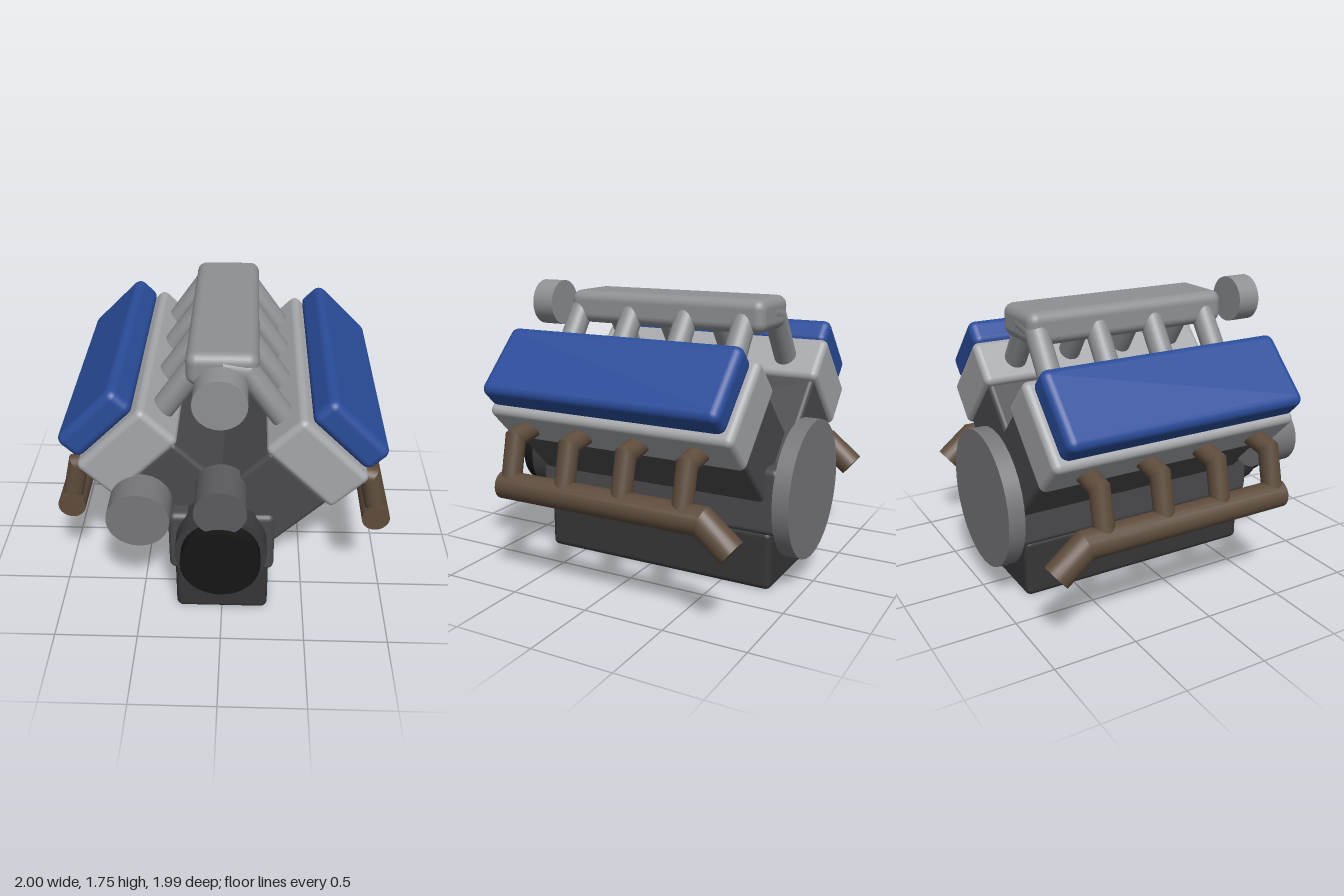
import * as THREE from 'three';
import { RoundedBoxGeometry } from 'three/addons/geometries/RoundedBoxGeometry.js';
import { toCreasedNormals } from 'three/addons/utils/BufferGeometryUtils.js';

const mat = (color) => new THREE.MeshStandardMaterial({ color });
const V = (x, y, z) => new THREE.Vector3(x, y, z);

// Mitred pipe through a planar path; b is the normal of the path's plane
function pipe(points, radius, b) {
  const last = points.length - 1;
  const geo = new THREE.CylinderGeometry(radius, radius, 1, 20, last);
  const dirs = points.slice(1).map((p, i) => p.clone().sub(points[i]).normalize());
  const rings = points.map((p, i) => {
    const d0 = dirs[Math.max(i - 1, 0)], d1 = dirs[Math.min(i, last - 1)];
    const t = d0.clone().add(d1).normalize();
    return { p, n: t.clone().cross(b).divideScalar(t.dot(d0)) };
  });
  const pos = geo.attributes.position;
  for (let i = 0; i < pos.count; i++) {
    const { p, n } = rings[Math.round((pos.getY(i) + 0.5) * last)];
    const v = p.clone().addScaledVector(n, pos.getX(i)).addScaledVector(b, pos.getZ(i));
    pos.setXYZ(i, v.x, v.y, v.z);
  }
  return toCreasedNormals(geo, 0.4);
}

export function createModel() {
  const model = new THREE.Group();
  const iron = mat(0x4a4a4d), pan = mat(0x363638), alloy = mat(0xa6a7ab), blue = mat(0x2a4c9a);
  const castAlloy = mat(0x8e9094), rust = mat(0x5e4c3c), steel = mat(0x77777b);
  const pumpGrey = mat(0x5c5c60), darkSteel = mat(0x3c3c3f), rubber = mat(0x161616);

  const add = (name, geo, material, x = 0, y = 0, z = 0, parent = model) => {
    const m = new THREE.Mesh(geo, material);
    m.name = name;
    m.position.set(x, y, z);
    parent.add(m);
    return m;
  };
  const box = (w, h, d, r = 0.04) => new RoundedBoxGeometry(w, h, d, 4, r);
  // Disc or drum along z, from zBack to zFront
  const drum = (name, r, x, y, zBack, zFront, material) =>
    add(name, new THREE.CylinderGeometry(r, r, zFront - zBack, 32).rotateX(Math.PI / 2),
      material, x, y, (zBack + zFront) / 2);

  // Lower engine
  add('oilPan', box(0.56, 0.37, 1.57), pan, 0, 0.185, -0.04);
  add('crankcase', box(0.62, 0.41, 1.66), iron, 0, 0.56, -0.045);

  // Two cylinder banks at 45 degrees, the right one set slightly further back
  for (const s of [1, -1]) {
    const bank = new THREE.Group();
    bank.name = s > 0 ? 'leftBank' : 'rightBank';
    bank.position.z = s > 0 ? 0 : -0.07;
    model.add(bank);

    const tilted = (name, x, y, z, geo, m) => {
      add(name, geo, m, s * x, y, z, bank).rotation.z = -s * Math.PI / 4;
    };
    tilted('cylinderBlock', 0.22, 0.81, -0.015, box(0.475, 0.63, 1.55, 0.03), iron);
    tilted('cylinderHead', 0.535, 1.125, -0.015, box(0.55, 0.3, 1.59), alloy);
    tilted('valveCover', 0.71, 1.295, -0.0125, box(0.48, 0.18, 1.525, 0.05), blue);

    // Intake and exhaust runners for each cylinder
    const zAxis = V(0, 0, 1);
    const intake = pipe([V(s * 0.36, 1.28, 0), V(s * 0.135, 1.6, 0), V(0, 1.62, 0)], 0.07, zAxis);
    const exhaust = pipe([V(s * 0.69, 0.935, 0), V(s * 0.86, 0.905, 0), V(s * 0.92, 0.64, 0)], 0.06, zAxis);
    for (let i = 0; i < 4; i++) {
      const z = 0.555 - i * 0.376;
      add('intakeRunner', intake, castAlloy, 0, 0, z, bank);
      add('exhaustRunner', exhaust, rust, 0, 0, z, bank);
    }

    // Exhaust log with its outlet bent down at the back
    const log = [V(s * 0.915, 0.63, 0.615), V(s * 0.915, 0.63, -0.69), V(s * 0.915, 0.487, -0.865)];
    add('exhaustLog', pipe(log, 0.083, V(1, 0, 0)), rust, 0, 0, 0, bank);
  }

  // Intake plenum and throttle
  add('intakePlenum', box(0.4, 0.2, 1.32, 0.06), castAlloy, 0, 1.61, -0.05);
  drum('throttleBody', 0.145, 0, 1.605, 0.79, 0.94, castAlloy);

  // Front accessories
  drum('waterPump', 0.148, 0, 0.925, 0.7, 0.965, pumpGrey);
  drum('crankDamper', 0.265, 0, 0.585, 0.7, 0.905, darkSteel);
  drum('crankPulley', 0.228, 0, 0.59, 0.9, 1, rubber);
  drum('alternator', 0.18, -0.467, 0.805, 0.64, 0.89, steel);

  // Flywheel at the back
  drum('flywheel', 0.422, 0, 0.585, -0.98, -0.88, steel);

  return model;
}
